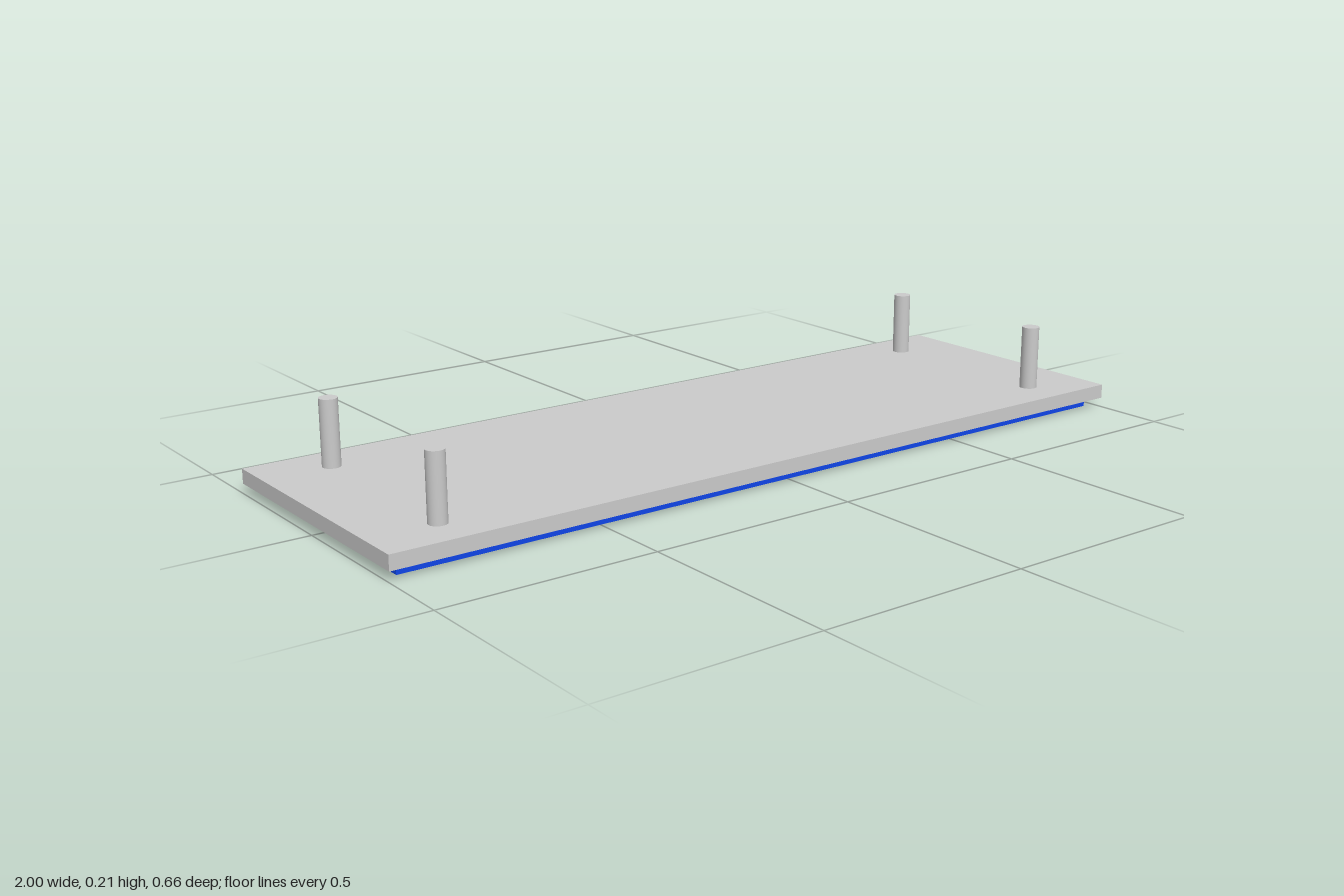
import * as THREE from 'three';

export function createModel() {
  const model = new THREE.Group();
  const grey = new THREE.MeshStandardMaterial({ color: 0xcccccc });
  const blue = new THREE.MeshStandardMaterial({ color: 0x1046e9 });

  const add = (name, geometry, material, x, y, z) => {
    const mesh = new THREE.Mesh(geometry, material);
    mesh.name = name;
    mesh.position.set(x, y, z);
    model.add(mesh);
  };

  const padTop = 0.023, plateTop = 0.057, pinTop = 0.211;

  // Blue pad under the plate
  add('bottomPad', new THREE.BoxGeometry(1.94, padTop, 0.602), blue, 0, padTop / 2, 0);

  // Main plate
  add('plate', new THREE.BoxGeometry(2, plateTop - padTop, 0.662), grey, 0, (padTop + plateTop) / 2, 0);

  // Four upright pins, one near each corner
  const pin = new THREE.CylinderGeometry(0.021, 0.021, pinTop - plateTop, 32);
  for (const [side, x] of [['Left', 0.838], ['Right', -0.838]]) {
    for (const [end, z] of [['front', 0.231], ['back', -0.231]]) {
      add(`${end}${side}Pin`, pin, grey, x, (plateTop + pinTop) / 2, z);
    }
  }

  return model;
}
